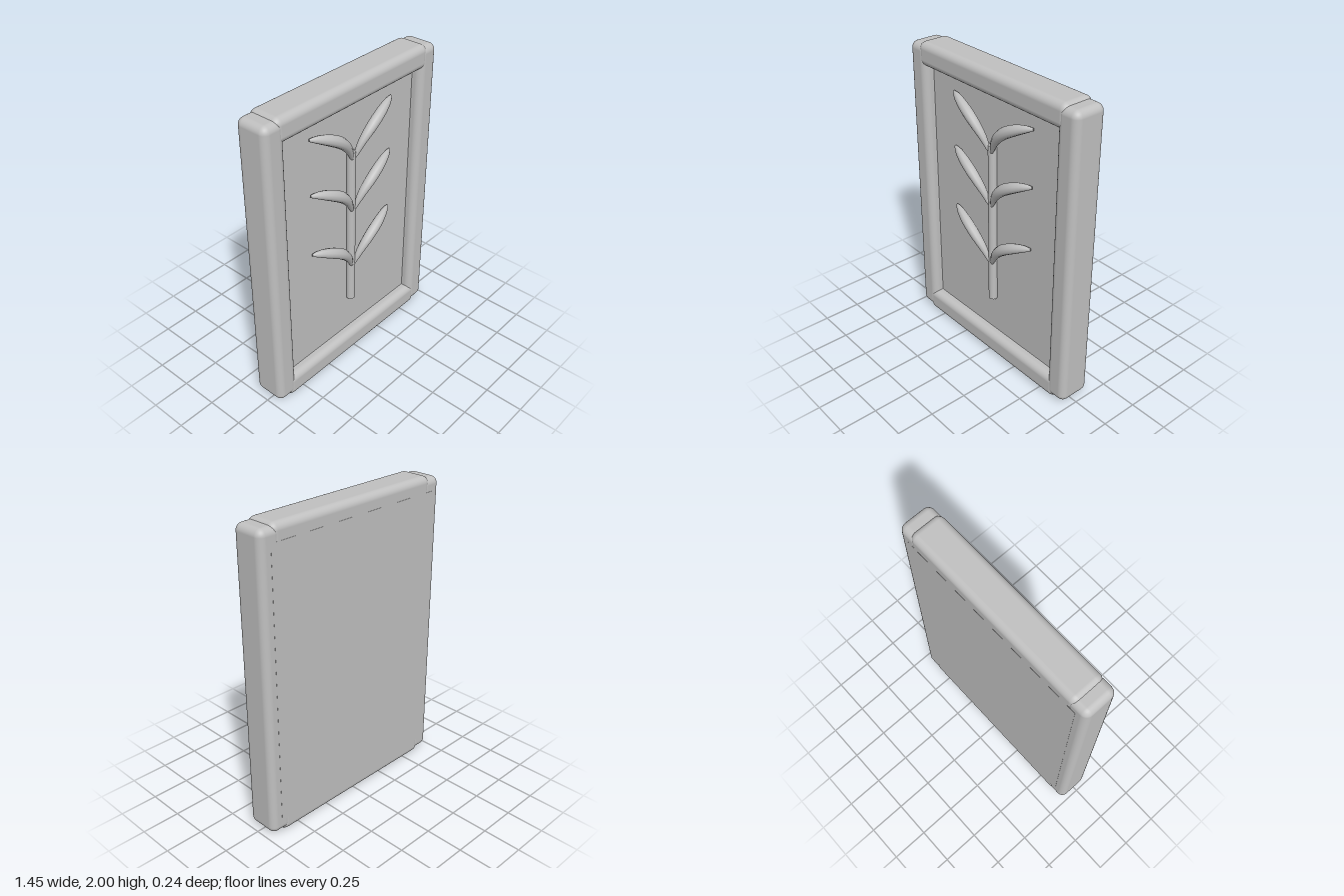
import * as THREE from 'three';
import { RoundedBoxGeometry } from 'three/addons/geometries/RoundedBoxGeometry.js';

const grey = new THREE.MeshStandardMaterial({ color: 0xc0c0c0 });
grey.name = 'plain grey';

const BACK = -0.122, FRONT = 0.098;

function add(parent, name, geometry, x = 0, y = 0, z = 0) {
  const mesh = new THREE.Mesh(geometry, grey);
  mesh.name = name;
  mesh.position.set(x, y, z);
  parent.add(mesh);
  return mesh;
}

// Solid leaf: elliptical sections swept along an arched centre line, root at the origin
function leafGeometry() {
  const path = new THREE.CatmullRomCurve3([
    [0.008, 0, 0.06], [0.055, 0.09, 0.075], [0.125, 0.168, 0.087],
    [0.21, 0.222, 0.082], [0.29, 0.256, 0.066], [0.352, 0.272, 0.048],
  ].map((p) => new THREE.Vector3(...p)));
  const rings = 16, sides = 10, positions = [], index = [];
  for (let i = 0; i <= rings; i++) {
    const t = i / rings;
    const c = path.getPoint(t), d = path.getTangent(t);
    const across = new THREE.Vector3(-d.y, d.x, 0).normalize();
    const out = new THREE.Vector3().crossVectors(d, across).normalize();
    const swell = Math.pow(Math.sin(Math.PI * t), 0.9);
    const w = 0.009 + 0.027 * swell, h = 0.008 + 0.026 * swell;
    for (let j = 0; j < sides; j++) {
      const a = (j / sides) * Math.PI * 2;
      const p = c.clone().addScaledVector(across, Math.cos(a) * w).addScaledVector(out, Math.sin(a) * h);
      positions.push(p.x, p.y, p.z);
      if (i < rings) {
        const k = i * sides + j, n = i * sides + ((j + 1) % sides);
        index.push(k, n, k + sides, n, n + sides, k + sides);
      }
    }
  }
  // Close both ends
  for (let j = 1; j < sides - 1; j++) {
    const e = rings * sides;
    index.push(0, j + 1, j, e, e + j, e + j + 1);
  }
  const g = new THREE.BufferGeometry();
  g.setAttribute('position', new THREE.Float32BufferAttribute(positions, 3));
  g.setIndex(index);
  g.computeVertexNormals();
  return g;
}

export function createModel() {
  const model = new THREE.Group();
  model.name = 'framedPlantRelief';

  // Frame: two upright posts and two cross rails with rounded edges
  const frame = new THREE.Group();
  frame.name = 'frame';
  model.add(frame);
  const depth = FRONT - BACK, midZ = (FRONT + BACK) / 2;
  const post = new RoundedBoxGeometry(0.15, 1.965, depth, 4, 0.045);
  const rail = new RoundedBoxGeometry(1.28, 0.155, depth, 4, 0.045);
  add(frame, 'leftPost', post, 0.65, 1.0025, midZ);
  add(frame, 'rightPost', post, -0.65, 1.0025, midZ);
  add(frame, 'topRail', rail, 0, 1.9225, midZ);
  add(frame, 'bottomRail', rail, 0, 0.0775, midZ);

  // Recessed panel, flush with the back of the frame
  const panelFront = 0.03, panelBack = BACK - 0.001;
  add(model, 'panel', new THREE.BoxGeometry(1.3, 1.8, panelFront - panelBack),
    0, 1, (panelFront + panelBack) / 2);

  // Plant: straight stem with three mirrored pairs of leaves
  const plant = new THREE.Group();
  plant.name = 'plant';
  model.add(plant);
  add(plant, 'stem', new THREE.CylinderGeometry(0.029, 0.029, 1.11, 12), 0, 0.97, 0.044);
  const leaf = leafGeometry();
  for (const y of [0.69, 1.112, 1.478]) {
    add(plant, 'leftLeaf', leaf, 0, y);
    add(plant, 'rightLeaf', leaf, 0, y).scale.x = -1;
  }
  return model;
}
